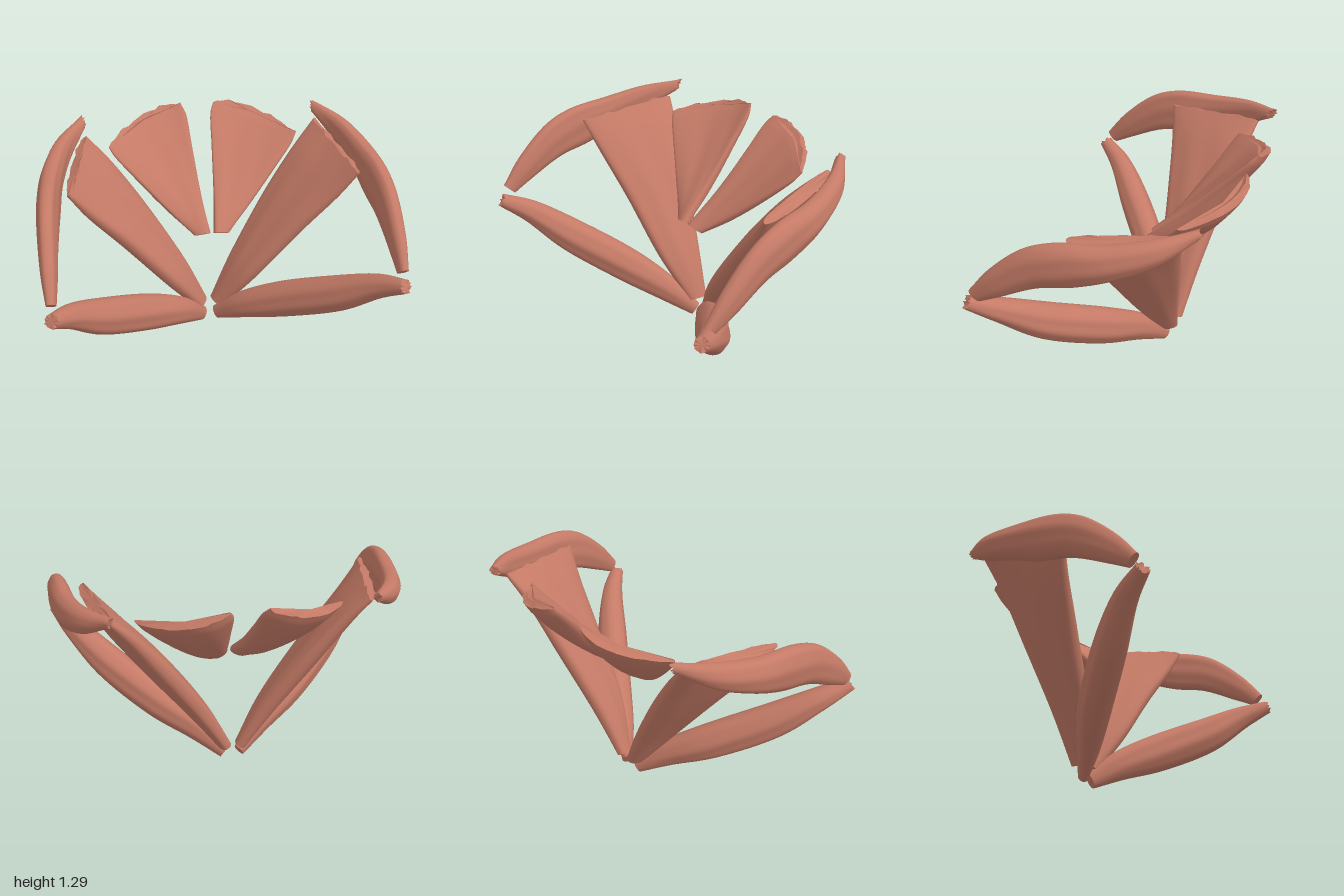
import * as THREE from 'three';

const material = new THREE.MeshStandardMaterial({ color: 0xc47a66 });
const STEPS = 40, SIDES = 40;

// Each station is [edgeA xyz, edgeB xyz, half thickness, bulge].
// A rounded section is swept between the two edges along smooth curves.
function muscleGeometry(stations, { bulgeDir = null, power = 0.8, fray = 0 } = {}) {
  const curve = o => new THREE.CatmullRomCurve3(
    stations.map(s => new THREE.Vector3(s[o], s[o + 1], s[o + 2])), false, 'centripetal');
  const edgeA = curve(0), edgeB = curve(3);
  const extra = new THREE.CatmullRomCurve3(
    stations.map((s, i) => new THREE.Vector3(s[6], s[7], i)), false, 'catmullrom', 0.5);
  const middle = t => edgeA.getPoint(t).add(edgeB.getPoint(t)).multiplyScalar(0.5);
  const positions = [], indices = [];
  const push = v => positions.push(v.x, v.y, v.z);

  for (let i = 0; i <= STEPS; i++) {
    const t = i / STEPS;
    const centre = middle(t);
    const tangent = middle(Math.min(1, t + 0.01)).sub(middle(Math.max(0, t - 0.01))).normalize();
    const half = edgeA.getPoint(t).sub(edgeB.getPoint(t)).multiplyScalar(0.5);
    const normal = new THREE.Vector3().crossVectors(tangent, half).normalize();
    const { x: thick, y: bulge } = extra.getPoint(t);
    for (let j = 0; j < SIDES; j++) {
      const angle = j / SIDES * Math.PI * 2;
      const c = Math.cos(angle), s = Math.sin(angle);
      const fibre = 1 + 0.05 * Math.sin(angle * 7 + t * 3) * Math.sin(Math.PI * t);
      const p = centre.clone()
        .addScaledVector(half, c)
        .addScaledVector(normal, Math.sign(s) * Math.abs(s) ** power * thick * fibre)
        .addScaledVector(bulgeDir || normal, bulge * (1 - c * c));
      // Ragged attachment rim
      if (i === STEPS) p.addScaledVector(tangent, fray * (Math.sin(c * 23) + Math.sin(c * 11 + 1)));
      push(p);
    }
  }
  for (let i = 0; i < STEPS; i++) for (let j = 0; j < SIDES; j++) {
    const k = (j + 1) % SIDES, a = i * SIDES, b = a + SIDES;
    indices.push(a + j, a + k, b + k, a + j, b + k, b + j);
  }
  // End caps with their own vertices, so the rims stay sharp
  for (const ring of [0, STEPS]) {
    const first = positions.length / 3, mid = new THREE.Vector3();
    for (let j = 0; j < SIDES; j++) {
      const p = new THREE.Vector3().fromArray(positions, (ring * SIDES + j) * 3);
      mid.addScaledVector(p, 1 / SIDES);
      push(p);
    }
    push(mid);
    for (let j = 0; j < SIDES; j++) {
      const a = first + j, b = first + (j + 1) % SIDES;
      indices.push(first + SIDES, ...(ring ? [a, b] : [b, a]));
    }
  }
  const geometry = new THREE.BufferGeometry();
  geometry.setAttribute('position', new THREE.Float32BufferAttribute(positions, 3));
  geometry.setIndex(indices);
  geometry.computeVertexNormals();
  return geometry;
}

// Mirroring swaps the two edges, which keeps the winding outward.
const mirror = ([ax, ay, az, bx, by, bz, t, k]) => [-bx, by, bz, -ax, ay, az, t, k];

// Station for the round spindle: centre, half width, half thickness
const up = [-0.37, 0.87, -0.32];
const round = (c, w, t) => [...c.map((v, i) => v + up[i] * w), ...c.map((v, i) => v - up[i] * w), t, 0];

const muscles = {
  lowerSpindle: {
    stations: [
      round([0.045, 0.06, -0.18], 0.045, 0.03),
      round([0.19, 0.18, -0.07], 0.085, 0.065),
      round([0.40, 0.305, 0.075], 0.112, 0.09),
      round([0.68, 0.485, 0.305], 0.108, 0.09),
      round([0.86, 0.64, 0.48], 0.07, 0.065),
      round([0.955, 0.72, 0.615], 0.04, 0.04),
    ],
    options: { power: 1, fray: 0.006 },
  },
  sideFan: {
    stations: [
      [0.07, 0.125, -0.15, 0.03, 0.14, -0.25, 0.035, 0],
      [0.24, 0.38, -0.06, 0.17, 0.42, -0.30, 0.06, 0.005],
      [0.50, 0.73, 0.0, 0.38, 0.78, -0.38, 0.07, 0.01],
      [0.70, 0.98, 0.05, 0.56, 1.05, -0.44, 0.06, 0.01],
      [0.81, 1.15, 0.09, 0.69, 1.21, -0.49, 0.035, 0.01],
    ],
    options: { power: 0.7, fray: 0.005 },
  },
  outerBand: {
    stations: [
      [0.955, 0.81, 0.59, 0.945, 0.75, 0.53, 0.028, 0],
      [0.95, 0.96, 0.47, 0.945, 0.81, 0.41, 0.045, 0],
      [0.94, 1.13, 0.27, 0.925, 0.91, 0.20, 0.055, 0.005],
      [0.925, 1.195, 0.10, 0.905, 0.955, 0.0, 0.06, 0.01],
      [0.89, 1.22, -0.15, 0.88, 1.03, -0.20, 0.06, 0.01],
      [0.82, 1.26, -0.38, 0.80, 1.12, -0.40, 0.05, 0.01],
      [0.70, 1.29, -0.585, 0.69, 1.23, -0.54, 0.025, 0],
    ],
    options: { power: 0.8, fray: 0.008 },
  },
  backFan: {
    stations: [
      [0.012, 0.73, -0.07, 0.10, 0.70, -0.10, 0.03, 0],
      [0.04, 0.90, -0.28, 0.25, 0.83, -0.20, 0.05, 0.04],
      [0.06, 1.10, -0.47, 0.42, 1.00, -0.31, 0.05, 0.085],
      [0.075, 1.25, -0.60, 0.53, 1.12, -0.38, 0.035, 0.105],
      [0.10, 1.30, -0.64, 0.56, 1.17, -0.41, 0.02, 0.11],
    ],
    options: { power: 0.7, fray: 0.005, bulgeDir: new THREE.Vector3(0, 0.1, -1) },
  },
};

export function createModel() {
  const model = new THREE.Group();
  model.name = 'muscleGroup';
  for (const side of ['left', 'right']) {
    const half = new THREE.Group();
    half.name = side + 'Side';
    for (const [name, { stations, options }] of Object.entries(muscles)) {
      const rows = side === 'left' ? stations : stations.map(mirror);
      const mesh = new THREE.Mesh(muscleGeometry(rows, options), material);
      mesh.name = name;
      half.add(mesh);
    }
    model.add(half);
  }
  return model;
}
